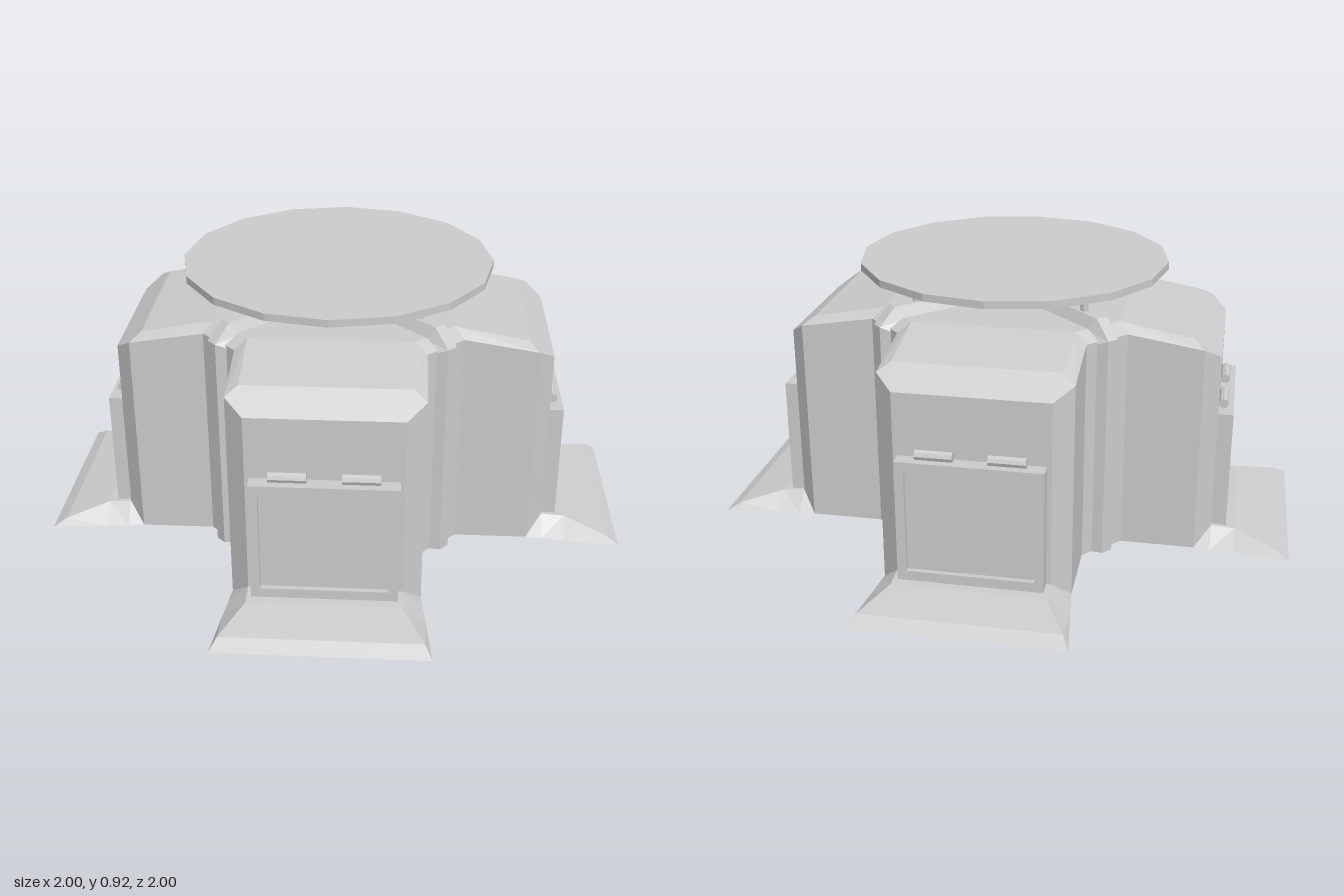
import * as THREE from 'three';

const material = new THREE.MeshStandardMaterial({ color: 0xcccccc, flatShading: true });

// Flat-faced geometry from convex polygons of the +x half, mirrored across x = 0
function mirroredGeometry(polygons) {
  const pos = [];
  for (const poly of polygons) {
    for (let i = 1; i < poly.length - 1; i++) {
      const [a, b, c] = [poly[0], poly[i], poly[i + 1]];
      pos.push(...a, ...b, ...c);
      for (const [x, y, z] of [a, c, b]) pos.push(-x, y, z);
    }
  }
  const geo = new THREE.BufferGeometry();
  geo.setAttribute('position', new THREE.Float32BufferAttribute(pos, 3));
  geo.computeVertexNormals();
  return geo;
}

function part(name, geometry, parent, x = 0, y = 0, z = 0) {
  const mesh = new THREE.Mesh(geometry, material);
  mesh.name = name;
  mesh.position.set(x, y, z);
  parent.add(mesh);
  return mesh;
}

// One wing of the cross-shaped body, facing +z
function wingGeometry() {
  const foot = [0.25, 0, 0.735], face = [0.25, 0.68, 0.735];
  const sideFoot = [0.31, 0, 0.68], eave = [0.31, 0.72, 0.68];
  const innerFoot = [0.31, 0, 0.43], innerEave = [0.31, 0.76, 0.43];
  const diagFoot = [0.37, 0, 0.37], diagEave = [0.37, 0.76, 0.37];
  const roofFront = [0.27, 0.745, 0.645], roofBack = [0.27, 0.79, 0.4];
  const diagRoof = [0.335, 0.79, 0.335];
  const mid = ([, y, z]) => [0, y, z];
  return mirroredGeometry([
    [mid(foot), foot, face, mid(face)],
    [foot, sideFoot, eave, face],
    [sideFoot, innerFoot, innerEave, eave],
    [innerFoot, diagFoot, diagEave, innerEave],
    [mid(face), face, roofFront, mid(roofFront)],
    [face, eave, roofFront],
    [eave, innerEave, roofBack, roofFront],
    [innerEave, diagEave, diagRoof, roofBack],
    [mid(roofFront), roofFront, roofBack, mid(roofBack)],
    [mid(roofBack), roofBack, diagRoof, [0, 0.79, 0]],
    [[0, 0, 0], diagFoot, innerFoot, sideFoot, mid(sideFoot)],
  ]);
}

// Sloping ramp; rows are z, top half width, height, ground half width
function rampGeometry() {
  const rows = [
    [0.735, 0.25, 0.06, 0.316],
    [0.815, 0.25, 0.055, 0.325],
    [0.955, 0.322, 0.026, 0.34],
    [1, 0.345, 0, 0.345],
  ];
  const polys = [
    [[0.31, 0, 0.68], [0.25, 0.06, 0.735], [0.316, 0, 0.735]],
    [[0, 0, 0.68], [0.31, 0, 0.68], [0.345, 0, 1], [0, 0, 1]],
  ];
  for (let i = 0; i < rows.length - 1; i++) {
    const [z0, w0, y0, b0] = rows[i], [z1, w1, y1, b1] = rows[i + 1];
    polys.push([[0, y1, z1], [w1, y1, z1], [w0, y0, z0], [0, y0, z0]]);
    polys.push([[w1, y1, z1], [b1, 0, z1], [b0, 0, z0], [w0, y0, z0]]);
  }
  return mirroredGeometry(polys);
}

// Trapezoid rib climbing the inner corner and running over the roof
function ribGeometry() {
  const outer = [[0, 0.552], [0.765, 0.552], [0.825, 0.492], [0.825, 0.07]];
  const base = [[0, 0.52], [0.75, 0.52], [0.785, 0.47], [0.785, 0.07]];
  const polys = [[[0, 0, 0.52], [0.045, 0, 0.52], [0.02, 0, 0.552], [0, 0, 0.552]]];
  for (let i = 0; i < 3; i++) {
    const o0 = [0.02, ...outer[i]], o1 = [0.02, ...outer[i + 1]];
    const b0 = [0.045, ...base[i]], b1 = [0.045, ...base[i + 1]];
    polys.push([[0, ...outer[i]], o0, o1, [0, ...outer[i + 1]]]);
    polys.push([o0, b0, b1, o1]);
  }
  return mirroredGeometry(polys);
}

// Rectangle outline for the door frame and its opening
function rectangle(Type, w, y0, y1) {
  const path = new Type();
  path.moveTo(-w, y0);
  path.lineTo(w, y0);
  path.lineTo(w, y1);
  path.lineTo(-w, y1);
  path.closePath();
  return path;
}

export function createModel() {
  const model = new THREE.Group();
  model.name = 'shelter';

  const wing = wingGeometry(), ramp = rampGeometry(), rib = ribGeometry();
  const frameShape = rectangle(THREE.Shape, 0.235, 0.055, 0.47);
  frameShape.holes.push(rectangle(THREE.Path, 0.205, 0.09, 0.44));
  const frame = new THREE.ExtrudeGeometry(frameShape, { depth: 0.055, bevelEnabled: false });
  const panel = new THREE.BoxGeometry(0.42, 0.36, 0.04);
  const hinge = new THREE.CylinderGeometry(0.017, 0.017, 0.12, 8).rotateZ(Math.PI / 2);
  const post = new THREE.CylinderGeometry(0.013, 0.013, 0.08, 8);
  const plate = new THREE.BoxGeometry(0.055, 0.02, 0.055);

  for (let i = 0; i < 4; i++) {
    // Wing with ramp and door
    const side = new THREE.Group();
    side.name = 'wing' + (i + 1);
    side.rotation.y = i * Math.PI / 2;
    model.add(side);
    part('wingShell', wing, side);
    part('ramp', ramp, side);
    part('doorFrame', frame, side, 0, 0, 0.73);
    part('doorPanel', panel, side, 0, 0.265, 0.748);
    for (const x of [-0.115, 0.115]) part('doorHinge', hinge, side, x, 0.484, 0.75);
    part('roofPlate', plate, side, 0, 0.79, 0.15);

    // Corner rib with canopy post
    const corner = new THREE.Group();
    corner.name = 'corner' + (i + 1);
    corner.rotation.y = (i + 0.5) * Math.PI / 2;
    model.add(corner);
    part('cornerRib', rib, corner);
    part('canopyPost', post, corner, 0, 0.86, 0.4);
  }

  // Roof hub and canopy disc
  part('roofHubBase', new THREE.CylinderGeometry(0.095, 0.095, 0.035, 16), model, 0, 0.805, 0);
  part('roofHubTop', new THREE.CylinderGeometry(0.075, 0.095, 0.028, 16), model, 0, 0.836, 0);
  part('canopy', new THREE.CylinderGeometry(0.535, 0.535, 0.025, 16), model, 0, 0.907, 0);
  return model;
}
